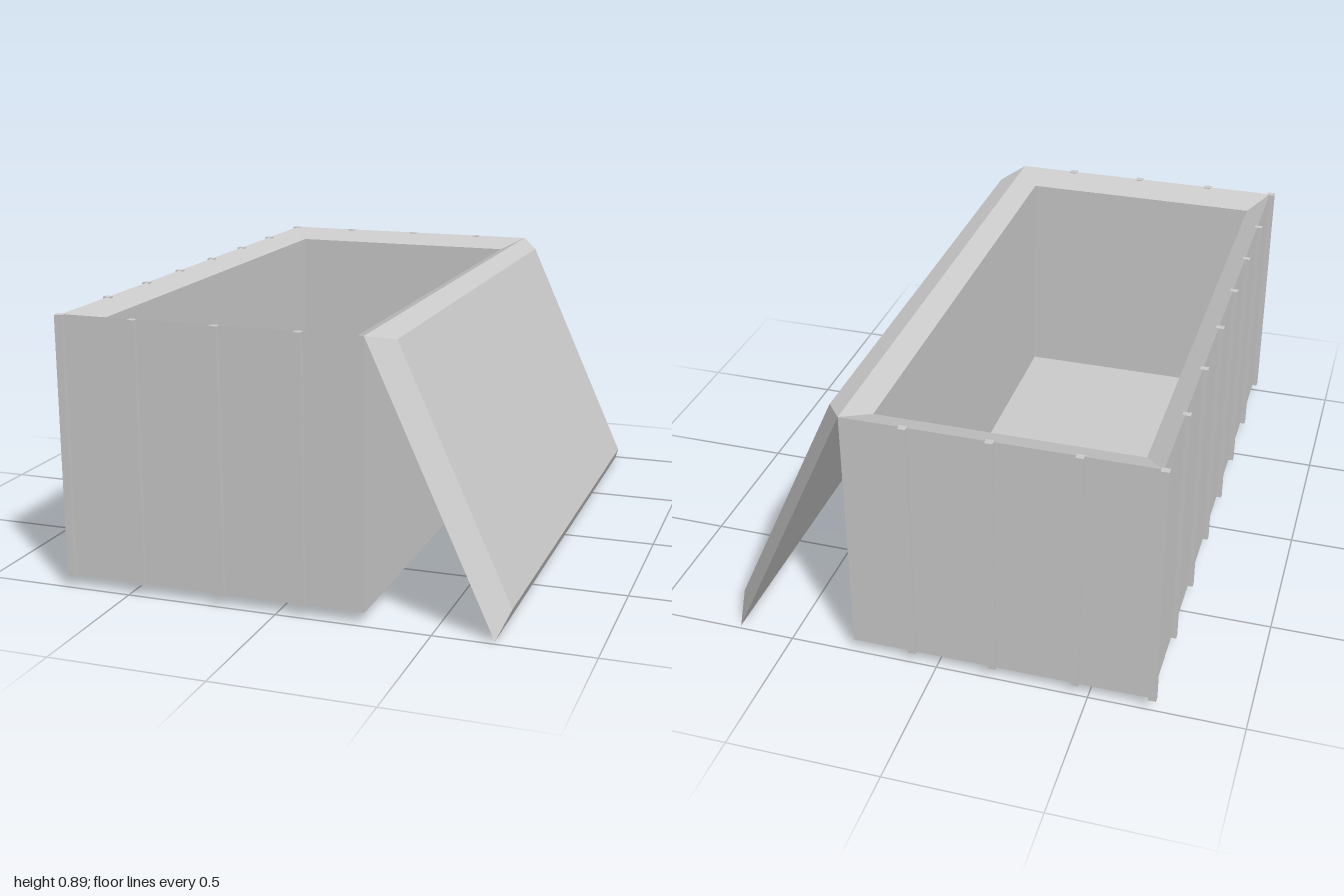
import * as THREE from 'three';

const material = new THREE.MeshStandardMaterial({ color: 0xcccccc, flatShading: true });

// Closed skin through a series of rectangles [x0, x1, z0, z1, y], capped at both ends
function loftRects(rects) {
  const loops = rects.map(([x0, x1, z0, z1, y]) => [[x0, y, z1], [x1, y, z1], [x1, y, z0], [x0, y, z0]]);
  const pos = [];
  const quad = (a, b, c, d) => pos.push(...a, ...b, ...c, ...a, ...c, ...d);
  for (let k = 0; k < loops.length - 1; k++) {
    const lo = loops[k], hi = loops[k + 1];
    for (let i = 0; i < 4; i++) {
      const j = (i + 1) % 4;
      quad(lo[i], lo[j], hi[j], hi[i]);
    }
  }
  const first = loops[0], last = loops[loops.length - 1];
  quad(first[3], first[2], first[1], first[0]);
  quad(...last);
  const geo = new THREE.BufferGeometry();
  geo.setAttribute('position', new THREE.Float32BufferAttribute(pos, 3));
  geo.computeVertexNormals();
  return geo;
}

export function createModel() {
  const model = new THREE.Group();
  const add = (parent, name, geo) => {
    const mesh = new THREE.Mesh(geo, material);
    mesh.name = name;
    parent.add(mesh);
    return mesh;
  };

  const left = -0.7, right = 0.285, back = -0.988, front = 0.983;
  const bottom = 0.042, top = 0.895;

  // Open box: outer walls, rim sloping inward, inner walls, floor
  add(model, 'boxBody', loftRects([
    [left, right, back, front, bottom],
    [left, right, back, front, top],
    [-0.63, 0.212, -0.89, 0.883, 0.86],
    [-0.63, 0.212, -0.89, 0.883, 0.08],
  ]));

  // Hinged lid: bevelled slab hanging down from the right edge of the box
  const lid = add(model, 'lid', loftRects([
    [0, 0.978, back, front, 0],
    [0.052, 0.929, -0.888, 0.883, 0.052],
  ]));
  lid.position.set(right, top, 0);
  lid.rotation.z = Math.atan2(0.005 - top, 0.69 - right);

  // Vertical ribs on the front, back and left walls, including the corners
  const ribs = new THREE.Group();
  ribs.name = 'ribs';
  model.add(ribs);
  const height = top - bottom;
  const rib = (name, x, z, w, d) =>
    add(ribs, name, new THREE.BoxGeometry(w, height, d)).position.set(x, bottom + height / 2, z);

  for (const x of [-0.457, -0.185, 0.082]) {
    rib('frontRib', x, 0.986, 0.025, 0.024);
    rib('backRib', x, -0.989, 0.025, 0.022);
  }
  for (const z of [-0.68, -0.4, -0.123, 0.147, 0.404, 0.677]) rib('leftRib', -0.704, z, 0.026, 0.02);
  rib('frontCornerRib', -0.704, 0.986, 0.026, 0.024);
  rib('backCornerRib', -0.704, -0.989, 0.026, 0.022);

  return model;
}
